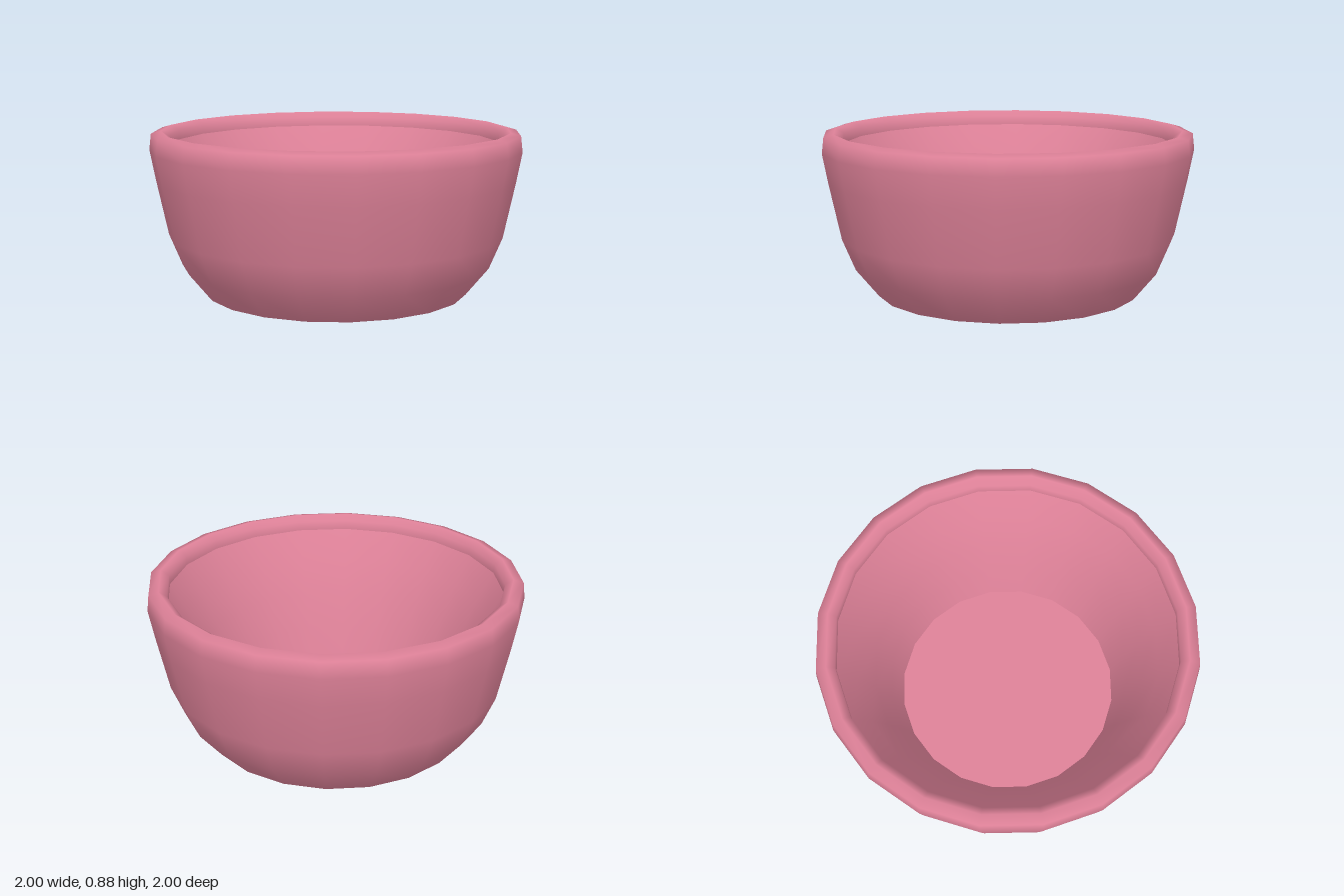
import * as THREE from 'three';

const SIDES = 20;

export function createModel() {
  const bowl = new THREE.Group();
  bowl.name = 'bowl';
  const pink = new THREE.MeshStandardMaterial({ color: 0xdf8299 });
  pink.name = 'pink glaze';

  function add(name, geometry) {
    const mesh = new THREE.Mesh(geometry, pink);
    mesh.name = name;
    bowl.add(mesh);
    return mesh;
  }

  const turned = (profile) => new THREE.LatheGeometry(
    profile.map(([r, y]) => new THREE.Vector2(r, y)), SIDES);

  // Outer wall, up the outside and over the rounded rim
  add('outerWallAndRim', turned([
    [0.713, 0], [0.835, 0.15], [0.905, 0.32], [0.968, 0.62], [0.998, 0.78],
    [0.988, 0.865], [0.935, 0.88], [0.893, 0.85], [0.89, 0.8],
  ]));

  // Inner wall, flaring from the floor to a sharp crease under the rim
  add('innerWall', turned([
    [0.89, 0.8], [0.8, 0.64], [0.72, 0.46], [0.65, 0.27], [0.595, 0.1],
  ]));

  // Flat discs closing the bowl inside and underneath
  const floor = add('innerFloor', new THREE.CircleGeometry(0.595, SIDES));
  floor.rotation.x = -Math.PI / 2;
  floor.position.y = 0.1;
  const base = add('base', new THREE.CircleGeometry(0.713, SIDES));
  base.rotation.x = Math.PI / 2;

  return bowl;
}
